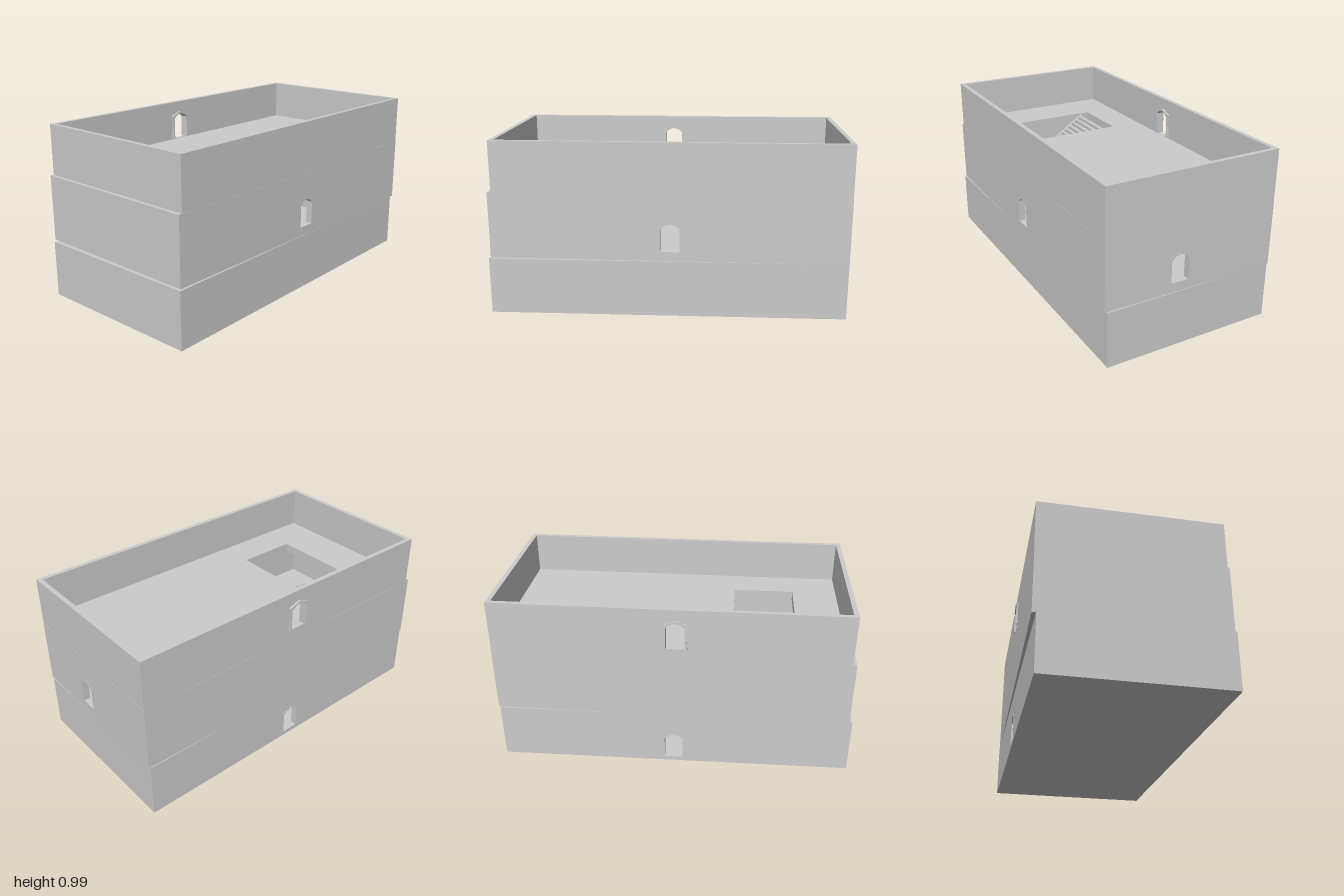
import * as THREE from 'three';

const T = 0.026; // wall thickness
const mat = new THREE.MeshStandardMaterial({ color: 0xcccccc, flatShading: true });

function add(parent, name, geometry) {
  const m = new THREE.Mesh(geometry, mat);
  m.name = name;
  parent.add(m);
  return m;
}

const extrude = (shape, depth) => new THREE.ExtrudeGeometry(shape, { depth, bevelEnabled: false });

function rect(x0, x1, y0, y1) {
  return new THREE.Shape([[x0, y0], [x1, y0], [x1, y1], [x0, y1]].map(p => new THREE.Vector2(...p)));
}

// Symmetric outline from its right half, bottom to top
function outline(half, cx, cy, Type) {
  const left = half.filter(p => p[0] > 0).reverse().map(([x, y]) => [-x, y]);
  return new Type([...half, ...left].map(([x, y]) => new THREE.Vector2(cx + x, cy + y)));
}
const OPENING = [[0.052, 0], [0.052, 0.13], [0.028, 0.15], [0, 0.158]];
const SURROUND = [[0.066, 0], [0.06, 0.075], [0.067, 0.147], [0, 0.172]];

// Wall with its inner face on local z = 0, optionally pierced by a framed doorway
function wall(parent, name, width, y0, y1, door) {
  const g = new THREE.Group();
  g.name = name;
  const shape = rect(-width / 2, width / 2, y0, y1);
  if (door) {
    const { at, sill, proud } = door;
    shape.holes.push(outline(OPENING, at, sill, THREE.Path));
    const ring = outline(SURROUND, at, sill, THREE.Shape);
    // the opening reaches the sill, so the surround is an arch-shaped band
    const inner = OPENING.slice().map(([x, y]) => [at + x, sill + y]);
    const mirrored = OPENING.filter(p => p[0] > 0).reverse().map(([x, y]) => [at - x, sill + y]);
    const band = [...ring.getPoints().slice(0, 7), ...[...inner, ...mirrored].reverse()];
    const pts = band.map(p => Array.isArray(p) ? new THREE.Vector2(...p) : p);
    add(g, 'doorSurround', extrude(new THREE.Shape(pts), T + proud + 0.012)).position.z = -0.012;
  }
  add(g, 'wallPanel', extrude(shape, T));
  parent.add(g);
  return g;
}

// One storey: floor slab with optional stairwell, and four walls
function storey(name, { hx, hz, y0, y1, slab, well, doors = {} }) {
  const g = new THREE.Group();
  g.name = name;
  const ix = hx - T, iz = hz - T;

  const floor = rect(-hx + 0.001, hx - 0.001, -hz + 0.001, hz - 0.001);
  if (well) floor.holes.push(rect(...well));
  add(g, 'floorSlab', extrude(floor, slab).rotateX(Math.PI / 2)).position.y = y0 + slab;

  wall(g, 'frontWall', 2 * hx, y0, y1, doors.front).position.z = iz;
  const back = wall(g, 'backWall', 2 * hx, y0, y1, doors.back);
  back.rotation.y = Math.PI;
  back.position.z = -iz;
  for (const [side, s] of [['left', 1], ['right', -1]]) {
    const w = wall(g, side + 'Wall', 2 * iz, y0, y1, doors[side]);
    w.rotation.y = s * Math.PI / 2;
    w.position.x = s * ix;
  }
  return g;
}

// Straight flight climbing from zLow to zHigh between two stringers
function stairs(name, x0, x1, zLow, zHigh, yLow, yHigh, count = 20) {
  const g = new THREE.Group();
  g.name = name;
  const run = (zHigh - zLow) / count, rise = (yHigh - yLow) / count, side = 0.016;
  for (let i = 0; i < count; i++) {
    const step = add(g, 'step', new THREE.BoxGeometry(x1 - x0 - 2 * side, rise * 1.4, Math.abs(run)));
    step.position.set((x0 + x1) / 2, yLow + rise * (i + 0.3), zLow + run * (i + 0.5));
  }
  const profile = new THREE.Shape([
    [zLow, yLow], [zLow, yLow + 0.025], [zHigh, yHigh + 0.01], [zHigh, yHigh - 0.04], [zLow - run * -1.5, yLow],
  ].map(([z, y]) => new THREE.Vector2(-z, y)));
  for (const x of [x0, x1 - side]) {
    // shape x becomes -z, thickness runs along x
    add(g, 'stringer', extrude(profile, side).rotateY(Math.PI / 2)).position.x = x;
  }
  return g;
}

export function createModel() {
  const model = new THREE.Group();
  model.name = 'threeStoreyBuilding';

  const ground = storey('groundStorey', {
    hx: 0.995, hz: 0.497, y0: 0, y1: 0.32, slab: 0.015,
    doors: { back: { at: 0, sill: 0.025, proud: 0.002 } },
  });
  ground.position.set(-0.005, 0, 0.006);
  ground.add(stairs('lowerStairs', 0.285, 0.635, -0.21, 0.29, 0.015, 0.325));

  const middle = storey('middleStorey', {
    hx: 0.989, hz: 0.504, y0: 0.325, y1: 0.7, slab: 0.05,
    well: [0.28, 0.63, -0.22, 0.3],
    doors: {
      front: { at: 0.014, sill: 0.377, proud: -0.002 },
      left: { at: -0.072, sill: 0.377, proud: 0.002 },
    },
  });
  middle.position.set(0.004, 0, 0.004);

  const top = storey('topStorey', {
    hx: 0.978, hz: 0.503, y0: 0.7, y1: 0.985, slab: 0.05,
    well: [-0.69, -0.335, -0.29, 0.27],
    doors: { back: { at: 0.035, sill: 0.752, proud: 0.011 } },
  });
  top.position.set(0.014, 0, 0.004);
  middle.add(stairs('upperStairs', -0.678, -0.328, 0.27, -0.238, 0.375, 0.735));

  // the upper two storeys sit slightly twisted on the ground storey
  for (const s of [middle, top]) s.rotation.y = -0.011;

  model.add(ground, middle, top);
  return model;
}
